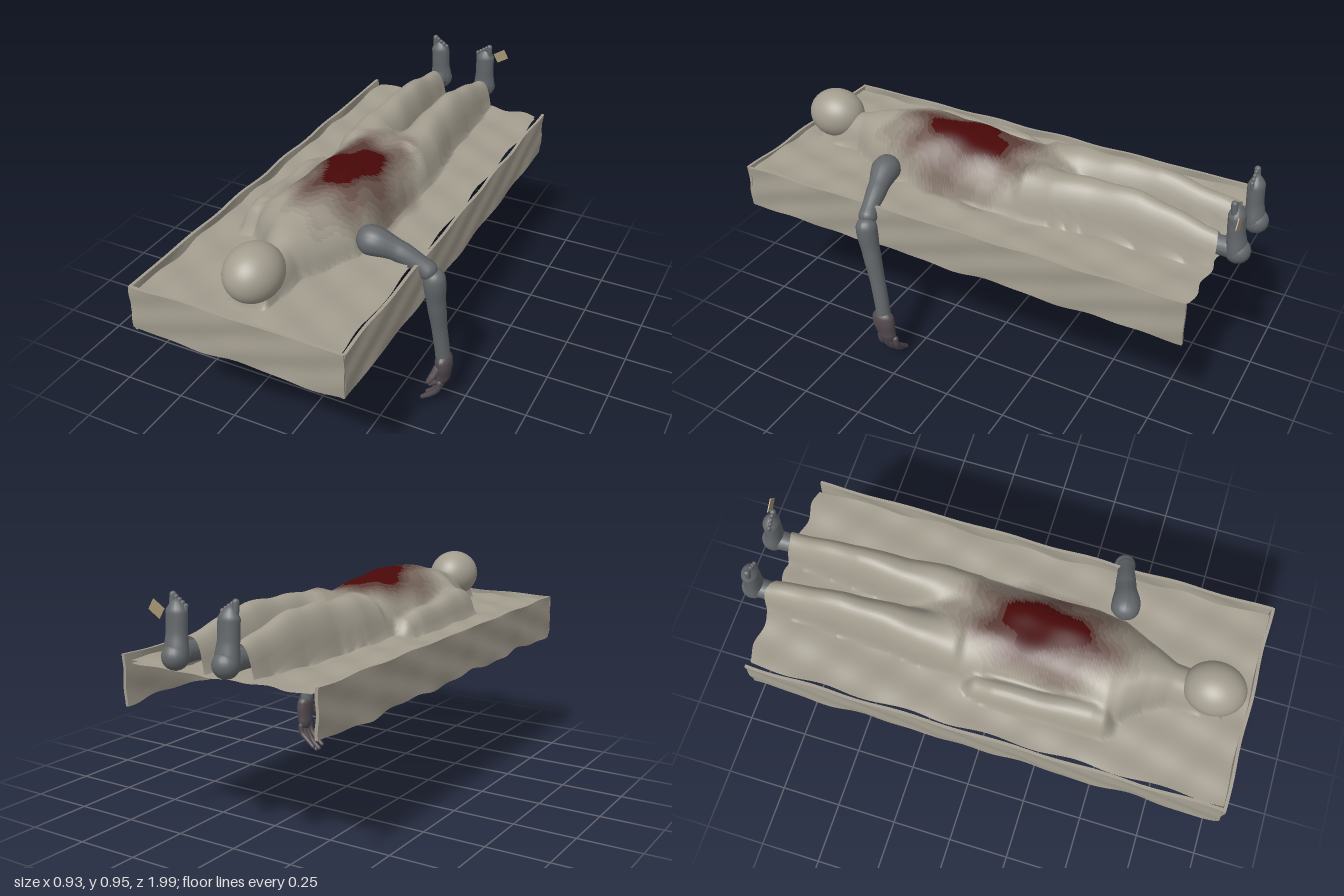
import * as THREE from 'three';
import { mergeGeometries } from 'three/addons/utils/BufferGeometryUtils.js';

const CLOTH = 0xa39d8f, BLOOD = 0x4a0808, SKIN = 0x63676a, HAND = 0x524a50;
const BED = 0.69;

// Linear lookup in rows [z, a, b, ...] sorted by falling z
function row(table, z) {
  if (z > table[0][0] || z < table[table.length - 1][0]) return null;
  let i = 0;
  while (i < table.length - 2 && z < table[i + 1][0]) i++;
  const A = table[i], B = table[i + 1], t = (A[0] - z) / (A[0] - B[0]);
  return A.map((v, k) => v + (B[k] - v) * t);
}

// Body under the cloth, rows: z, centre x, half width, height
const TORSO = [[0.88, -0.05, 0.07, 0.1], [0.68, -0.05, 0.08, 0.135], [0.6, -0.05, 0.125, 0.155],
  [0.52, -0.07, 0.18, 0.175], [0.46, -0.07, 0.21, 0.19], [0.35, -0.05, 0.2, 0.205], [0.2, -0.05, 0.2, 0.195],
  [0, -0.05, 0.205, 0.165], [-0.12, -0.05, 0.21, 0.165], [-0.25, -0.05, 0.16, 0.13], [-0.42, -0.05, 0.08, 0]];
const LEG = [[-0.02, 0.1, 0.09, 0], [-0.12, 0.1, 0.105, 0.16], [-0.25, 0.1, 0.103, 0.175], [-0.4, 0.095, 0.087, 0.18],
  [-0.58, 0.1, 0.075, 0.178], [-0.72, 0.103, 0.065, 0.15], [-0.9, 0.106, 0.054, 0.115]];
const ARM = [[0.52, -0.25, 0.06, 0], [0.48, -0.26, 0.068, 0.1], [0.42, -0.265, 0.066, 0.12], [0.25, -0.272, 0.058, 0.1],
  [0.05, -0.275, 0.055, 0.085], [-0.03, -0.27, 0.05, 0.06], [-0.07, -0.265, 0.04, 0]];

function bump(table, x, z, mirror = 1) {
  const r = row(table, z);
  if (!r) return 0;
  const cx = table === LEG ? -0.05 + mirror * r[1] : r[1];
  const t = Math.abs(x - cx) / r[2];
  return t < 1 ? r[3] * Math.pow(1 - Math.pow(t, 2.3), 0.6) : 0;
}

function bodyHeight(x, z) {
  const parts = [bump(TORSO, x, z), bump(LEG, x, z, 1), bump(LEG, x, z, -1), bump(ARM, x, z)];
  return Math.pow(parts.reduce((s, h) => s + Math.pow(h, 8), 0), 1 / 8);
}

const wrinkle = (x, z) => 0.006 * Math.sin(9 * z + 14 * x) * Math.sin(23 * x + 1) + 0.003 * Math.sin(31 * z - 17 * x);

// 0 = clean, 1 = soaked
function stain(x, z) {
  const d = Math.hypot((x + 0.03) / 0.21, (z - 0.17) / 0.37);
  const ragged = 0.07 * Math.sin(40 * x + 11 * z) + 0.05 * Math.sin(27 * z - 33 * x);
  return THREE.MathUtils.clamp((1.08 - d + ragged) * 1.5, 0, 1);
}

// Cloth surface over the bed, divided into bands of colour by the stain
function cloth(name, nx, nz, heightAt) {
  const pos = [], bands = Array.from({ length: 9 }, () => []);
  for (let j = 0; j <= nz; j++) for (let i = 0; i <= nx; i++) {
    const u = i / nx, z0 = -0.88 + 1.86 * j / nz;
    const edge = Math.pow(Math.abs(2 * u - 1), 12);
    const x = -0.435 + 0.77 * u + edge * 0.006 * Math.sin(19 * z0 + 2 * u);
    const z = z0 + (j === 0 ? 0.008 * Math.sin(40 * x) : 0);
    pos.push(x, heightAt(x, z0), z);
  }
  const geo = new THREE.BufferGeometry();
  geo.setAttribute('position', new THREE.Float32BufferAttribute(pos, 3));
  const all = [];
  for (let j = 0; j < nz; j++) for (let i = 0; i < nx; i++) {
    const a = j * (nx + 1) + i, b = a + nx + 1;
    for (const tri of [[a, b, a + 1], [a + 1, b, b + 1]]) {
      const s = stain(pos[tri[0] * 3], pos[tri[0] * 3 + 2]);
      bands[Math.round(s * 8)].push(...tri);
      all.push(...tri);
    }
  }
  geo.setIndex(all);
  geo.computeVertexNormals();
  const group = new THREE.Group();
  group.name = name;
  bands.forEach((index, k) => {
    if (!index.length) return;
    const part = geo.clone().setIndex(index);
    const color = new THREE.Color(CLOTH).lerp(new THREE.Color(BLOOD), k / 8);
    const mesh = new THREE.Mesh(part, new THREE.MeshStandardMaterial({ color, side: THREE.DoubleSide }));
    mesh.name = k ? name + 'Stain' + k : name + 'Clean';
    group.add(mesh);
  });
  return group;
}

// Hanging border: thin wavy panel of given length, along x
function hanging(length, seed) {
  const g = new THREE.BoxGeometry(length, 0.18, 0.012, 90, 8, 1), p = g.attributes.position;
  for (let i = 0; i < p.count; i++) {
    const x = p.getX(i), y = p.getY(i), down = 0.5 - y / 0.18;
    const wave = Math.sin(13 * x + seed) + 0.6 * Math.sin(29 * x + 2 * seed);
    p.setY(i, y + 0.615 + down * 0.006 * wave + (1 - down) * 0.002 * Math.sin(21 * x));
    p.setZ(i, p.getZ(i) + 0.003 * Math.sin(17 * x + 9 * down + seed) + 0.002 * wave * down);
  }
  g.computeVertexNormals();
  return g;
}

// Rounded tube through points [x, y, z, radius]
function limb(points, sides = 18, steps = 44) {
  const curve = new THREE.CatmullRomCurve3(points.map(q => new THREE.Vector3(q[0], q[1], q[2])));
  const g = new THREE.TubeGeometry(curve, steps, 1, sides), p = g.attributes.position;
  const len = curve.getLength(), v = new THREE.Vector3();
  for (let i = 0; i <= steps; i++) {
    const w = 0.5 - 0.5 * Math.cos(Math.PI * i / steps), u = 0.5 * w + 0.5 * i / steps;
    const c = curve.getPointAt(u), t = curve.getUtoTmapping(u) * (points.length - 1);
    const k = Math.min(Math.floor(t), points.length - 2);
    let r = THREE.MathUtils.lerp(points[k][3], points[k + 1][3], THREE.MathUtils.smoothstep(t - k, 0, 1));
    const d = Math.min(u, 1 - u) * len;
    if (d < r) r *= Math.sqrt(Math.max(0, 1 - (1 - d / r) ** 2));
    const base = curve.getPointAt(i / steps);
    for (let j = 0; j <= sides; j++) {
      const n = i * (sides + 1) + j;
      v.fromBufferAttribute(p, n).sub(base).multiplyScalar(r).add(c);
      p.setXYZ(n, v.x, v.y, v.z);
    }
  }
  g.computeVertexNormals();
  return g;
}

export function createModel() {
  const model = new THREE.Group();
  const add = (name, geo, color) => {
    const mesh = new THREE.Mesh(geo, new THREE.MeshStandardMaterial({ color, side: THREE.DoubleSide }));
    mesh.name = name;
    model.add(mesh);
    return mesh;
  };

  // Cloth over the body, and the flat sheet under it
  model.add(cloth('coverSheet', 84, 160, (x, z) => BED + wrinkle(x, z) + bodyHeight(x, z)));
  model.add(cloth('underSheet', 40, 80, (x, z) => BED - 0.012 + wrinkle(x, z) * 0.5));

  // Borders on three sides, open at the feet
  add('frontBorder', hanging(0.83, 1), CLOTH).position.set(-0.047, 0, 0.982);
  for (const [name, x, seed] of [['rightBorder', -0.456, 3], ['leftBorder', 0.362, 5]]) {
    const border = add(name, hanging(1.865, seed), CLOTH);
    border.rotation.y = Math.PI / 2;
    border.position.set(x, 0, 0.052);
  }

  // Covered head
  const head = add('coveredHead', new THREE.SphereGeometry(1, 40, 28), CLOTH);
  head.scale.set(0.102, 0.101, 0.118);
  head.position.set(-0.05, 0.795, 0.833);

  // Hanging left arm
  add('upperArm', limb([[0.13, 0.757, 0.44, 0.058], [0.19, 0.758, 0.435, 0.056], [0.28, 0.728, 0.415, 0.04],
    [0.36, 0.685, 0.4, 0.034], [0.41, 0.645, 0.39, 0.04]]), SKIN);
  add('forearm', limb([[0.408, 0.672, 0.39, 0.04], [0.41, 0.61, 0.387, 0.042], [0.413, 0.52, 0.373, 0.036],
    [0.42, 0.38, 0.348, 0.03], [0.428, 0.26, 0.33, 0.029], [0.43, 0.22, 0.327, 0.03]]), SKIN);
  const palm = limb([[0.43, 0.26, 0.328, 0.03], [0.434, 0.21, 0.325, 0.032], [0.43, 0.15, 0.32, 0.027], [0.425, 0.105, 0.317, 0.019]]);
  palm.translate(0, 0, -0.322).scale(1, 1, 1.5).translate(0, 0, 0.322);
  const hand = [palm, limb([[0.425, 0.215, 0.352, 0.017], [0.41, 0.175, 0.378, 0.014], [0.395, 0.145, 0.396, 0.01]], 10, 20)];
  for (let i = 0; i < 4; i++) {
    const z = 0.352 - 0.024 * i, tip = [0.012, 0, 0.002, 0.02][i];
    hand.push(limb([[0.43, 0.14, z, 0.012], [0.422, 0.095, z, 0.012], [0.395, 0.05 + tip, z, 0.011],
      [0.352, 0.014 + tip, z - 0.002, 0.009]], 10, 22));
  }
  add('hand', mergeGeometries(hand), HAND);

  // Bare feet, toes up
  for (const side of [-1, 1]) {
    const X = o => -0.05 + side * (0.106 + o);
    const sole = limb([[X(0), 0.715, -0.948, 0.04], [X(0), 0.76, -0.948, 0.047], [X(0.002), 0.83, -0.937, 0.04],
      [X(0.003), 0.895, -0.932, 0.04], [X(0.008), 0.94, -0.928, 0.022]]);
    sole.translate(0, 0, 0.937).scale(1, 1, 0.8).translate(0, 0, -0.937);
    const foot = [sole, new THREE.SphereGeometry(0.047, 20, 14).translate(X(0), 0.752, -0.951),
      limb([[X(0), 0.752, -0.78, 0.036], [X(0), 0.755, -0.87, 0.036], [X(0), 0.757, -0.95, 0.04]])];
    for (let i = 0; i < 5; i++) {
      const o = 0.024 - 0.0135 * i, r = i ? 0.008 : 0.012;
      foot.push(limb([[X(o), 0.89, -0.93, r], [X(o), 0.925 - 0.004 * i, -0.926, r], [X(o), 0.964 - 0.009 * i, -0.922, r]], 10, 16));
    }
    add(side < 0 ? 'rightFoot' : 'leftFoot', mergeGeometries(foot), SKIN);
  }

  // Paper tag on the left foot
  const tag = add('toeTag', new THREE.BoxGeometry(0.055, 0.042, 0.004), 0xa39472);
  tag.position.set(0.123, 0.905, -0.958);
  tag.rotation.z = 0.55;

  return model;
}
